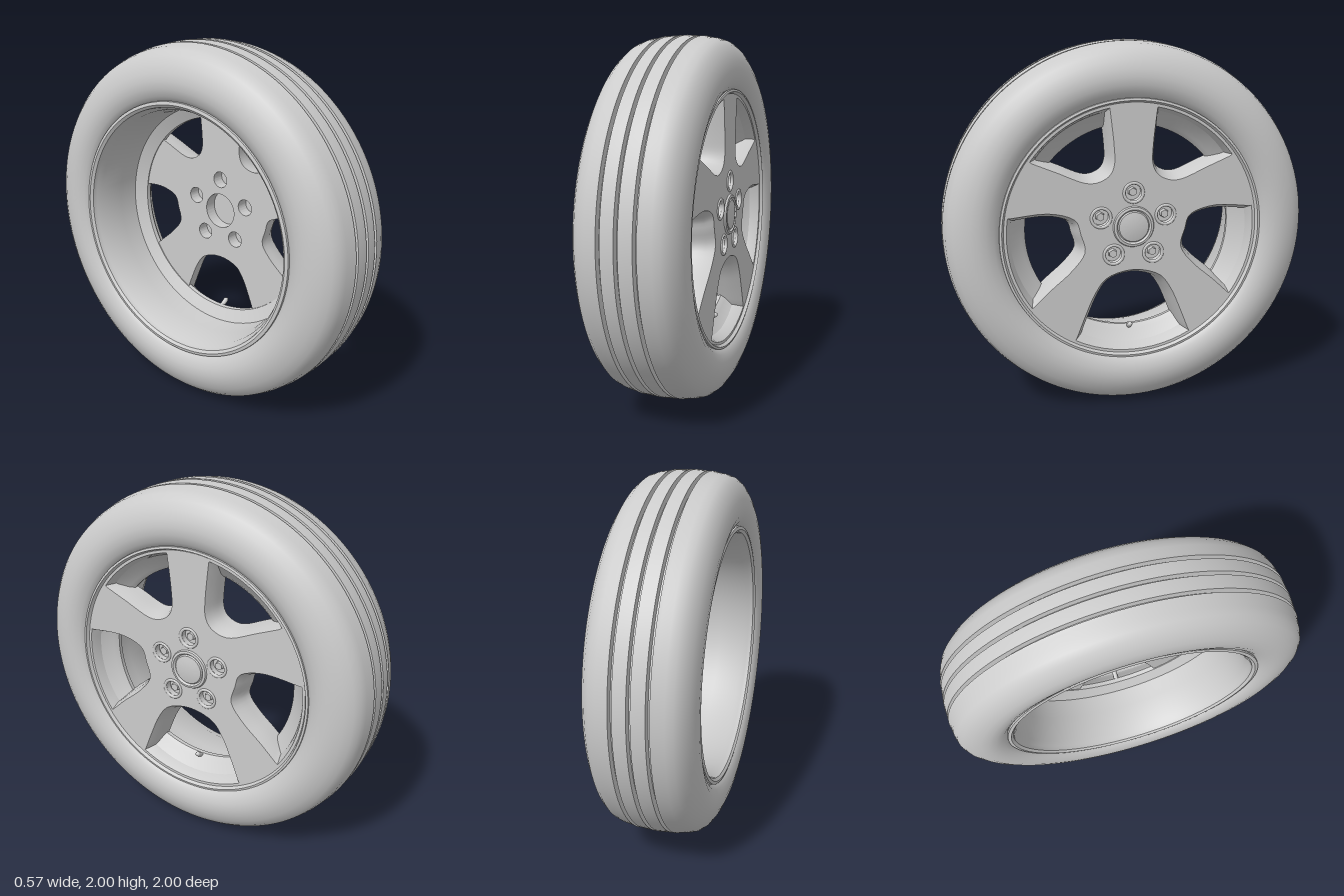
import * as THREE from 'three';
import { toCreasedNormals } from 'three/addons/utils/BufferGeometryUtils.js';

const grey = new THREE.MeshStandardMaterial({ color: 0xcccccc, side: THREE.DoubleSide });
const HUB_Y = 0.03;   // hub centre, slightly above the wheel axis
const RIM_R = 0.675;   // outer edge of the spoke windows
const PLATE_DEPTH = 0.14;

function add(group, name, geometry, x = 0, y = 0, z = 0) {
  const mesh = new THREE.Mesh(geometry, grey);
  mesh.name = name;
  mesh.position.set(x, y, z);
  group.add(mesh);
  return mesh;
}

// Revolve [radius, z] pairs round the wheel axis (local z)
function revolve(profile, segments = 112) {
  const g = new THREE.LatheGeometry(profile.map(p => new THREE.Vector2(...p)), segments);
  g.rotateX(Math.PI / 2);
  return toCreasedNormals(g, 0.6);
}

// Window outline: a curve round the spoke edges, closed by an arc along the rim
function windowOutline(points) {
  const pts = new THREE.SplineCurve(points.map(p => new THREE.Vector2(...p))).getPoints(28);
  const a = pts[pts.length - 1].angle();
  let sweep = pts[0].angle() - a;
  sweep = Math.atan2(Math.sin(sweep), Math.cos(sweep));
  for (let i = 0; i <= 12; i++) {
    const t = a + sweep * i / 12;
    pts.push(new THREE.Vector2(Math.cos(t) * RIM_R, Math.sin(t) * RIM_R));
  }
  return pts;
}

// Rounded sidewalls with three grooves round the tread
function tyreProfile() {
  const side = [[0.70, 0.225], [0.715, 0.25], [0.74, 0.268], [0.78, 0.282], [0.82, 0.284],
    [0.86, 0.277], [0.905, 0.259], [0.945, 0.233], [0.97, 0.203], [0.983, 0.165], [0.99, 0.12]];
  const tread = [];
  for (const z of [-0.09, 0, 0.09]) {
    const r = 1 - Math.abs(z) * 0.05;
    tread.push([r, z - 0.01], [r - 0.03, z - 0.006], [r - 0.03, z + 0.006], [r, z + 0.01]);
  }
  return [...side.map(([r, z]) => [r, -z]), ...tread, ...side.reverse()];
}

function spokePlate(lugs) {
  const lower = windowOutline([[-0.315, -0.58], [-0.26, -0.44], [-0.21, -0.33], [-0.14, -0.245],
    [0, -0.21], [0.14, -0.245], [0.21, -0.33], [0.26, -0.44], [0.315, -0.58]]);
  const middle = windowOutline([[-0.655, 0.11], [-0.46, 0.125], [-0.32, 0.085], [-0.285, 0],
    [-0.265, -0.1], [-0.34, -0.2], [-0.45, -0.295], [-0.54, -0.38]]);
  const upper = windowOutline([[-0.125, 0.65], [-0.105, 0.47], [-0.105, 0.36], [-0.15, 0.295],
    [-0.25, 0.275], [-0.41, 0.34], [-0.53, 0.39]]);
  const mirror = pts => pts.map(p => new THREE.Vector2(-p.x, p.y));
  const windows = [lower, middle, upper, mirror(middle), mirror(upper)];

  const shape = new THREE.Shape().absarc(0, 0, 0.69, 0, Math.PI * 2);
  shape.holes = windows.map(w => new THREE.Path(w));
  for (const [x, y] of lugs) shape.holes.push(new THREE.Path().absarc(x, y, 0.046, 0, Math.PI * 2));
  shape.holes.push(new THREE.Path().absarc(0, HUB_Y, 0.1, 0, Math.PI * 2));
  const g = new THREE.ExtrudeGeometry(shape, { depth: PLATE_DEPTH, steps: 3, bevelEnabled: false, curveSegments: 48 });

  // Flare the spokes towards the back by narrowing each window
  const pos = g.attributes.position;
  const centres = windows.map(w =>
    w.reduce((s, p) => s.add(p), new THREE.Vector2()).divideScalar(w.length));
  for (let i = 0; i < pos.count; i++) {
    const x = pos.getX(i), y = pos.getY(i), z = pos.getZ(i);
    const k = windows.findIndex(w => w.some(p => Math.abs(p.x - x) + Math.abs(p.y - y) < 1e-5));
    if (k < 0) continue;
    const f = 0.18 * Math.sqrt(Math.max(0, 1 - z / PLATE_DEPTH));
    pos.setX(i, x + (centres[k].x - x) * f);
    pos.setY(i, y + (centres[k].y - y) * f);
  }
  return toCreasedNormals(g, 0.6);
}

export function createModel() {
  const model = new THREE.Group();
  model.name = 'wheel';
  const wheel = new THREE.Group();
  wheel.name = 'wheelAssembly';
  wheel.rotation.y = Math.PI / 2;   // outer face towards +x
  wheel.position.y = 1;
  model.add(wheel);

  add(wheel, 'tyre', revolve(tyreProfile(), 128));

  // Rim barrel: front lip, sloping well, wide open back
  add(wheel, 'rimBarrel', revolve([[0.715, 0.235], [0.712, 0.255], [0.70, 0.258], [0.69, 0.235], [0.675, 0.225],
    [0.66, 0.19], [0.59, 0.145], [0.568, 0.12], [0.57, 0.095], [0.60, 0.08], [0.64, 0.06],
    [0.65, -0.05], [0.66, -0.20], [0.675, -0.225], [0.68, -0.25], [0.695, -0.262], [0.712, -0.258], [0.715, -0.235]]));

  const lugs = [];
  for (let i = 0; i < 5; i++) {
    const a = Math.PI / 2 + i * Math.PI * 2 / 5;
    lugs.push([Math.cos(a) * 0.185, HUB_Y + Math.sin(a) * 0.185]);
  }
  add(wheel, 'spokes', spokePlate(lugs), 0, 0, 0.1);

  // Disc inside the hub closes the bolt pockets and the centre bore
  add(wheel, 'hubDisc', revolve([[0, 0.17], [0.235, 0.17], [0.235, 0.2], [0, 0.2]], 48), 0, HUB_Y, 0);

  // Centre cap with raised ring
  add(wheel, 'centreCap', revolve([[0.115, 0.235], [0.108, 0.25], [0.095, 0.253], [0.086, 0.243],
    [0.08, 0.25], [0.05, 0.256], [0, 0.258]], 48), 0, HUB_Y, 0);

  // Wheel bolts and pocket rims
  for (const [x, y] of lugs) {
    add(wheel, 'boltPocketRim', new THREE.TorusGeometry(0.052, 0.009, 8, 28), x, y, 0.238);
    add(wheel, 'wheelBolt', new THREE.CylinderGeometry(0.022, 0.026, 0.03, 6).rotateX(Math.PI / 2), x, y, 0.21);
  }

  // Valve stem on the rim well
  const valve = add(wheel, 'valveStem', new THREE.CapsuleGeometry(0.014, 0.05, 4, 10), 0, -0.57, 0.14);
  valve.rotation.x = 1.0;

  return model;
}
